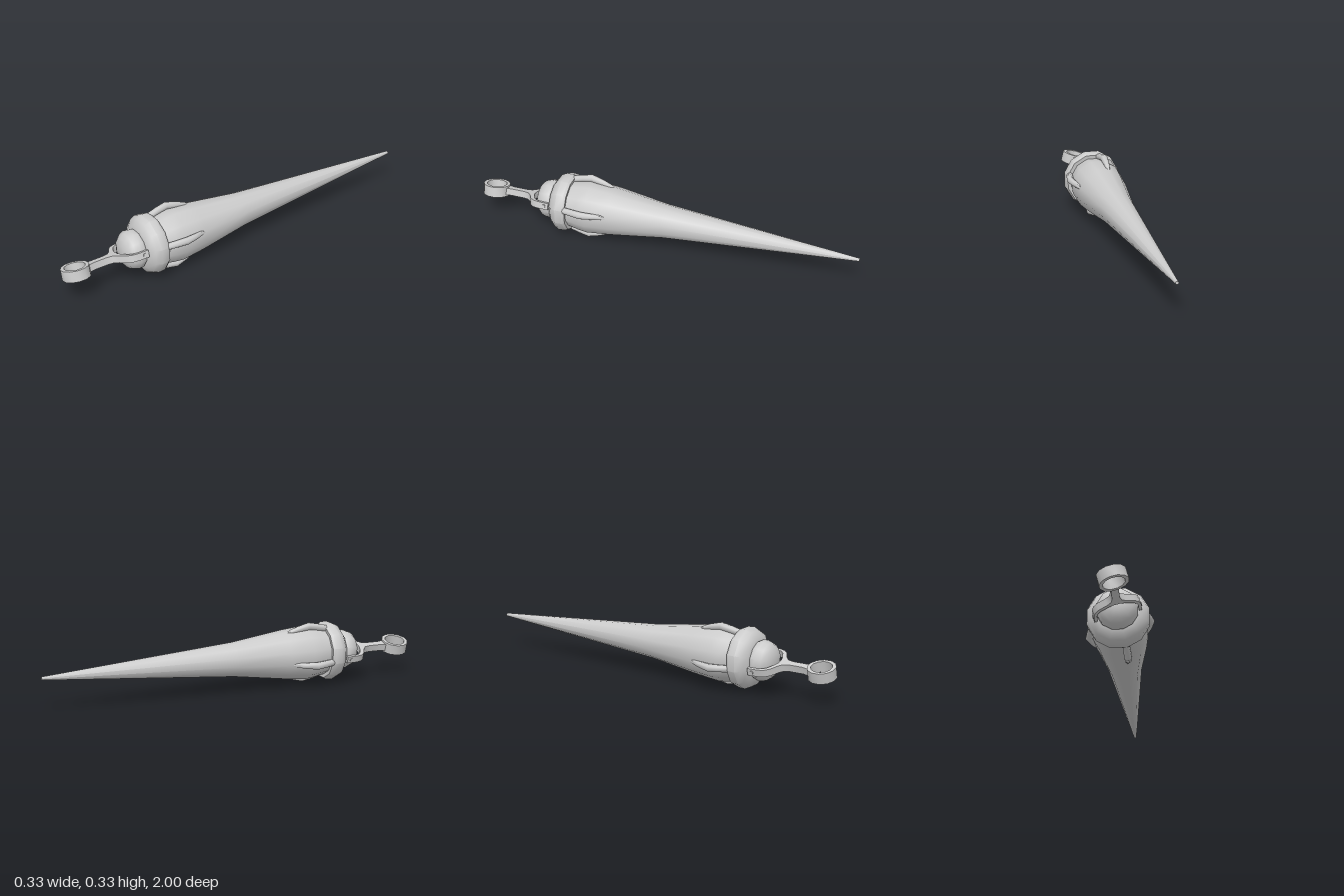
import * as THREE from 'three';
import { toCreasedNormals } from 'three/addons/utils/BufferGeometryUtils.js';

const material = new THREE.MeshStandardMaterial({ color: 0xcccccc, side: THREE.DoubleSide });

function addMesh(parent, name, geometry) {
  const mesh = new THREE.Mesh(geometry, material);
  mesh.name = name;
  parent.add(mesh);
  return mesh;
}

// Twelve-sided turned part; points are [radius, height]
function turned(points, crease = 0.65) {
  const g = new THREE.LatheGeometry(points.map(p => new THREE.Vector2(...p)), 12, Math.PI / 12);
  return toCreasedNormals(g, crease);
}

// Claw: tapered tube along z whose centre line is lifted along y, rows are [thickness, z, lift]
function clawGeometry() {
  const rows = [
    [0.003, 0.265, 0.119], [0.012, 0.30, 0.126], [0.016, 0.34, 0.138],
    [0.0195, 0.40, 0.151], [0.0185, 0.45, 0.142], [0.017, 0.51, 0.128],
  ];
  const g = new THREE.LatheGeometry(rows.map(r => new THREE.Vector2(r[0], r[1])), 8);
  g.rotateX(Math.PI / 2);
  const pos = g.attributes.position;
  for (let i = 0; i < pos.count; i++) pos.setY(i, pos.getY(i) + rows[i % rows.length][2]);
  g.computeVertexNormals();
  return toCreasedNormals(g, 0.9);
}

// Forked hanger outline in x and z, mirrored about x = 0
function yokeGeometry() {
  const half = [
    [0.026, 0.872], [0.018, 0.84], [0.018, 0.77], [0.025, 0.74], [0.045, 0.722],
    [0.085, 0.70], [0.104, 0.678], [0.112, 0.65], [0.114, 0.592],
    [0.099, 0.592], [0.098, 0.645], [0.091, 0.666], [0.075, 0.682], [0.04, 0.70], [0.015, 0.708],
  ];
  const mirrored = half.map(([x, z]) => [-x, z]).reverse();
  const shape = new THREE.Shape([...half, ...mirrored].map(p => new THREE.Vector2(...p)));
  const g = new THREE.ExtrudeGeometry(shape, { depth: 0.036, bevelEnabled: false });
  g.translate(0, 0, -0.018).rotateX(Math.PI / 2);
  return toCreasedNormals(g, 0.7);
}

export function createModel() {
  const model = new THREE.Group();
  model.name = 'pendulum';

  // Everything shares one very slightly tilted axis
  const axis = new THREE.Group();
  axis.name = 'pendulumAxis';
  axis.position.set(0.002, 0.174, 0);
  axis.rotation.set(0.008, -0.005, 0);
  model.add(axis);

  // Long spike with a swollen shoulder
  addMesh(axis, 'spike', turned([
    [0, -1], [0.008, -1], [0.087, -0.01], [0.126, 0.27], [0.138, 0.39], [0.132, 0.44], [0.117, 0.52],
  ]).rotateX(Math.PI / 2));

  // Collar over the shoulder
  addMesh(axis, 'collar', turned([
    [0.105, 0.497], [0.142, 0.492], [0.15, 0.505], [0.152, 0.54],
    [0.139, 0.567], [0.11, 0.588], [0.085, 0.594], [0, 0.594],
  ]).rotateX(Math.PI / 2));

  // Dome at the front
  addMesh(axis, 'dome', turned([
    [0.09, 0.588], [0.099, 0.60], [0.1, 0.625], [0.091, 0.65],
    [0.073, 0.669], [0.042, 0.682], [0, 0.686],
  ]).rotateX(Math.PI / 2));

  // Four claws gripping the shoulder
  const claw = clawGeometry();
  for (let i = 0; i < 4; i++) {
    addMesh(axis, 'claw' + (i + 1), claw).rotation.z = Math.PI / 12 + i * Math.PI / 2;
  }

  // Hanger: fork, pivot pins and ring, rolled about the axis
  const hanger = new THREE.Group();
  hanger.name = 'hanger';
  hanger.position.y = -0.006;
  hanger.rotation.z = Math.PI / 12;
  axis.add(hanger);

  addMesh(hanger, 'yoke', yokeGeometry());
  for (const side of [1, -1]) {
    const pin = new THREE.CylinderGeometry(0.009, 0.009, 0.03, 10).rotateZ(Math.PI / 2);
    addMesh(hanger, side > 0 ? 'leftPin' : 'rightPin', toCreasedNormals(pin, 0.7))
      .position.set(side * 0.103, 0, 0.615);
  }
  addMesh(hanger, 'ring', turned([
    [0.052, -0.0275], [0.07, -0.0275], [0.07, 0.0275], [0.052, 0.0275], [0.052, -0.0275],
  ])).position.z = 0.93;

  return model;
}
